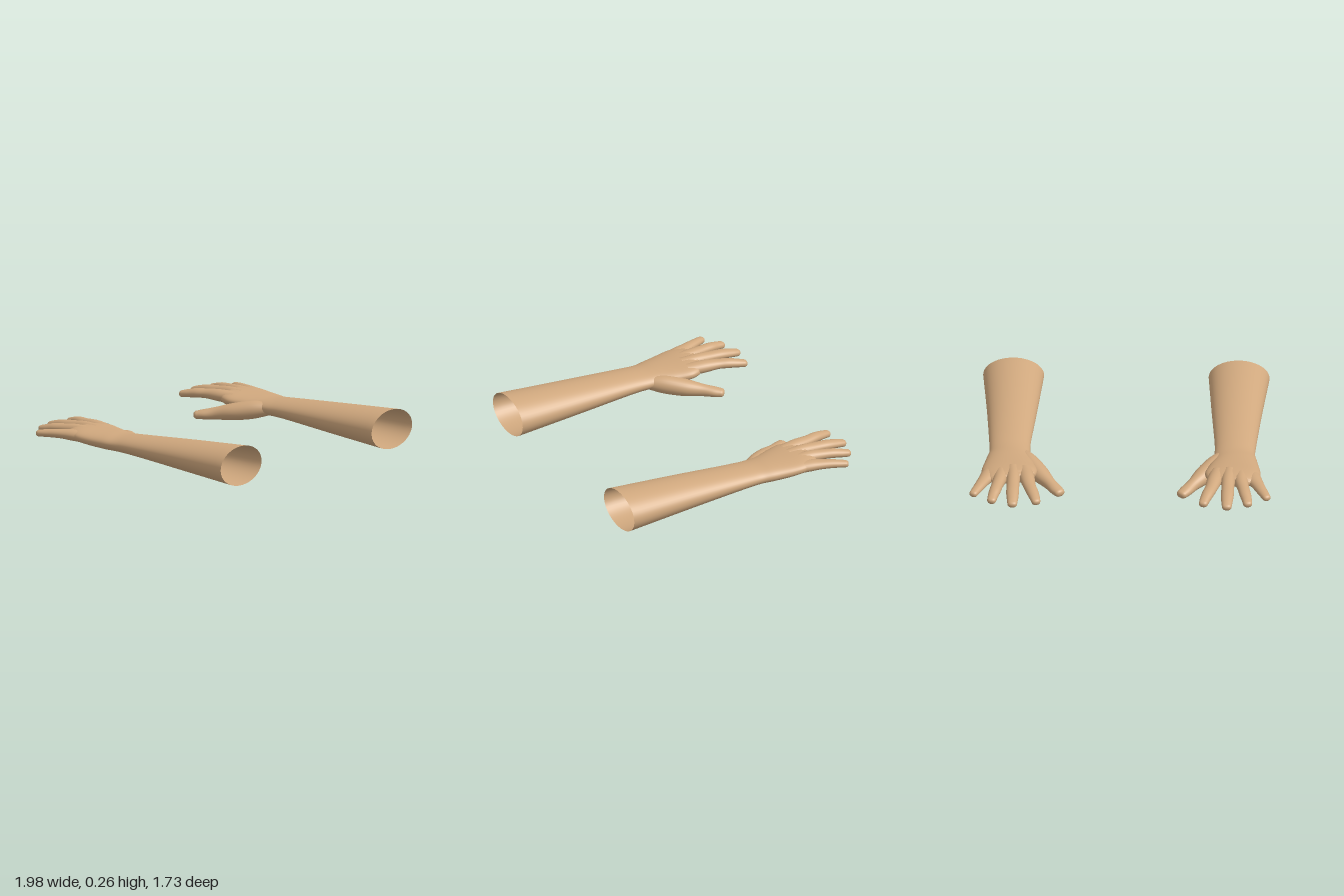
import * as THREE from 'three';

const skin = new THREE.MeshStandardMaterial({ color: 0xd0a87e, side: THREE.DoubleSide });
skin.name = 'skin';

// Smooth loft through stations [x, y, z, halfWidth, halfHeight, squareness],
// open at the start and closed by a rounded tip of length cap.
function loft(stations, side, { steps = 6, sides = 28, cap = 0.025 } = {}) {
  const path = new THREE.CatmullRomCurve3(
    stations.map(([x, y, z]) => new THREE.Vector3(x * side, y, z)), false, 'catmullrom', 0.5);
  const size = new THREE.CatmullRomCurve3(
    stations.map((s) => new THREE.Vector3(s[3], s[4], s[5] ?? 2)), false, 'catmullrom', 0.5);
  const up = new THREE.Vector3(0, 1, 0);
  const positions = [], index = [];
  let rings = 0;

  const addRing = (centre, dir, s, scale) => {
    const u = new THREE.Vector3().crossVectors(up, dir).normalize();
    const v = new THREE.Vector3().crossVectors(dir, u).normalize();
    for (let j = 0; j < sides; j++) {
      const a = (j / sides) * Math.PI * 2;
      const c = Math.cos(a), n = Math.sin(a), e = 2 / s.z;
      const p = centre.clone()
        .addScaledVector(u, Math.sign(c) * Math.abs(c) ** e * s.x * scale)
        .addScaledVector(v, Math.sign(n) * Math.abs(n) ** e * s.y * scale);
      positions.push(p.x, p.y, p.z);
    }
    rings++;
  };

  const count = (stations.length - 1) * steps;
  for (let i = 0; i <= count; i++) {
    const t = i / count;
    addRing(path.getPoint(t), path.getTangent(t), size.getPoint(t), 1);
  }
  // rounded tip
  const end = path.getPoint(1), dir = path.getTangent(1), endSize = size.getPoint(1);
  for (let k = 1; k <= 6; k++) {
    const a = (k / 6) * Math.PI / 2;
    const scale = k === 6 ? 0 : Math.cos(a) ** 0.75;
    addRing(end.clone().addScaledVector(dir, Math.sin(a) * cap), dir, endSize, scale);
  }

  for (let i = 0; i < rings - 1; i++) {
    for (let j = 0; j < sides; j++) {
      const a = i * sides + j, b = i * sides + (j + 1) % sides;
      index.push(a, b, b + sides, a, b + sides, a + sides);
    }
  }
  const geometry = new THREE.BufferGeometry();
  geometry.setAttribute('position', new THREE.Float32BufferAttribute(positions, 3));
  geometry.setIndex(index);
  geometry.computeVertexNormals();
  return geometry;
}

// Forearm flowing into the palm, from the open elbow end to the finger webs
const forearmAndPalm = [
  [0.74, 0.132, 0.86, 0.2, 0.132],
  [0.738, 0.135, 0.4, 0.166, 0.1],
  [0.74, 0.137, 0.0, 0.138, 0.07],
  [0.738, 0.136, -0.15, 0.134, 0.061],
  [0.742, 0.14, -0.25, 0.147, 0.06, 2.1],
  [0.738, 0.147, -0.35, 0.17, 0.057, 2.2],
  [0.733, 0.156, -0.44, 0.183, 0.052, 2.3],
  [0.727, 0.161, -0.505, 0.165, 0.046, 2.3],
  [0.722, 0.165, -0.535, 0.138, 0.036, 2.2],
];

// Fingers start inside the palm and swell slightly at the joints
const fingers = {
  thumb: [
    [0.67, 0.13, -0.16, 0.05, 0.045],
    [0.61, 0.118, -0.25, 0.062, 0.06],
    [0.537, 0.1, -0.36, 0.062, 0.056],
    [0.473, 0.086, -0.455, 0.043, 0.041],
    [0.428, 0.077, -0.52, 0.043, 0.033],
    [0.404, 0.073, -0.555, 0.037, 0.027, 2.2],
  ],
  indexFinger: [
    [0.635, 0.165, -0.43, 0.05, 0.04],
    [0.615, 0.17, -0.54, 0.05, 0.04],
    [0.597, 0.171, -0.64, 0.042, 0.032],
    [0.577, 0.168, -0.71, 0.04, 0.031],
    [0.56, 0.16, -0.77, 0.035, 0.027],
    [0.55, 0.153, -0.81, 0.03, 0.023, 2.3],
  ],
  middleFinger: [
    [0.712, 0.168, -0.43, 0.05, 0.044],
    [0.706, 0.173, -0.54, 0.046, 0.042],
    [0.705, 0.173, -0.65, 0.042, 0.033],
    [0.705, 0.168, -0.73, 0.042, 0.031],
    [0.704, 0.158, -0.8, 0.037, 0.027],
    [0.704, 0.15, -0.842, 0.032, 0.023, 2.3],
  ],
  ringFinger: [
    [0.785, 0.165, -0.43, 0.05, 0.04],
    [0.79, 0.17, -0.54, 0.046, 0.04],
    [0.808, 0.171, -0.64, 0.039, 0.032],
    [0.822, 0.167, -0.71, 0.038, 0.03],
    [0.833, 0.159, -0.76, 0.034, 0.027],
    [0.84, 0.152, -0.802, 0.03, 0.023, 2.3],
  ],
  littleFinger: [
    [0.845, 0.152, -0.4, 0.055, 0.038],
    [0.873, 0.157, -0.5, 0.052, 0.037],
    [0.9, 0.159, -0.57, 0.042, 0.031],
    [0.925, 0.158, -0.635, 0.036, 0.028],
    [0.946, 0.155, -0.685, 0.032, 0.025],
    [0.96, 0.152, -0.718, 0.028, 0.022, 2.3],
  ],
};

function makeArm(side, name) {
  const arm = new THREE.Group();
  arm.name = name;
  const add = (partName, geometry) => {
    const mesh = new THREE.Mesh(geometry, skin);
    mesh.name = partName;
    arm.add(mesh);
  };
  add('forearmAndPalm', loft(forearmAndPalm, side, { steps: 7, sides: 48, cap: 0.025 }));
  for (const [partName, stations] of Object.entries(fingers)) add(partName, loft(stations, side));
  return arm;
}

export function createModel() {
  const model = new THREE.Group();
  model.name = 'arms';
  model.add(makeArm(1, 'leftArm'), makeArm(-1, 'rightArm'));
  return model;
}
